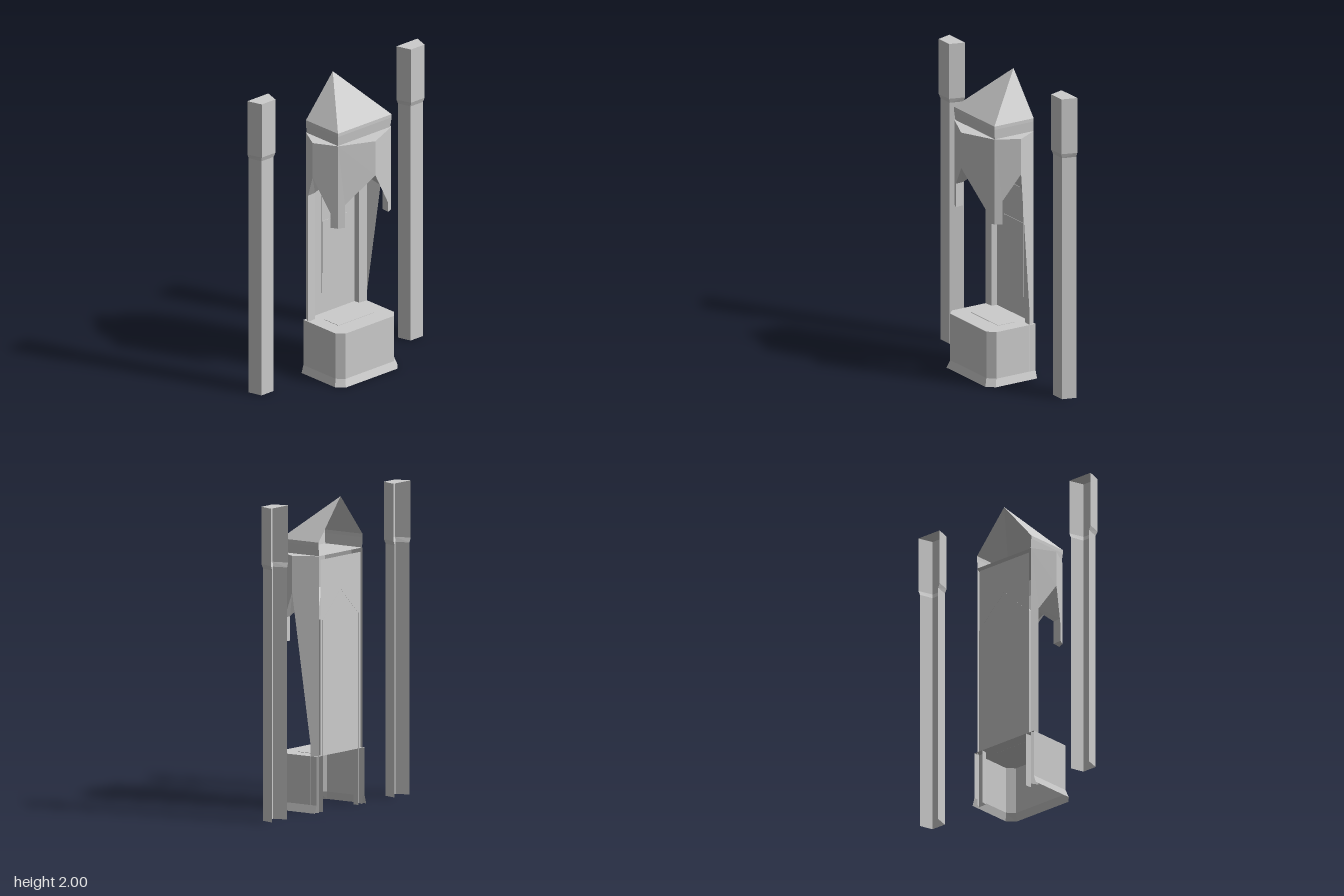
import * as THREE from 'three';

const stone = new THREE.MeshStandardMaterial({ color: 0xcccccc, side: THREE.DoubleSide, flatShading: true });
stone.name = 'pale stone';

// Mesh from flat polygons, each fanned from its first corner
function polyMesh(name, polys) {
  const pos = [];
  for (const p of polys)
    for (let i = 1; i < p.length - 1; i++) pos.push(...p[0], ...p[i], ...p[i + 1]);
  const g = new THREE.BufferGeometry();
  g.setAttribute('position', new THREE.Float32BufferAttribute(pos, 3));
  g.computeVertexNormals();
  const m = new THREE.Mesh(g, stone);
  m.name = name;
  return m;
}

// Add the copies mirrored across z = 0
const mirrored = polys => polys.concat(
  polys.map(p => p.map(([x, y, z]) => [x, y, -z]).reverse()));

// Walls between open outlines stacked at given heights: [y, [[x, z], ...]]
function skin(levels) {
  const out = [];
  for (let l = 0; l < levels.length - 1; l++) {
    const [y0, a] = levels[l], [y1, b] = levels[l + 1];
    for (let i = 0; i < a.length - 1; i++)
      out.push([at(a[i], y0), at(a[i + 1], y0), at(b[i + 1], y1), at(b[i], y1)]);
  }
  return out;
}
const at = ([x, z], y) => [x, y, z];
const lid = (outline, y) => outline.map(p => at(p, y));

function plate(name, sx, sy, sz, x, y, z) {
  const m = new THREE.Mesh(new THREE.BoxGeometry(sx, sy, sz), stone);
  m.name = name;
  m.position.set(x, y, z);
  return m;
}

// Side pilaster, open at the back and bottom
function pilaster(name, z) {
  const section = (x, back, front) => [[-0.2, back], [x, front], [x, -front], [-0.2, -back]];
  const shaft = section(-0.11, 0.078, 0.052), head = section(-0.1, 0.09, 0.059);
  const m = polyMesh(name, [
    ...skin([[0, shaft], [1.605, shaft], [1.635, head], [2, head]]),
    lid(head, 2)]);
  m.position.z = z;
  return m;
}

// Chamfered bench with a flared foot, open at the back and bottom
function bench() {
  const outline = (fx, cx, fz, cz) => [[-0.2, cz], [cx, cz], [fx, fz], [fx, -fz], [cx, -cz], [-0.2, -cz]];
  const body = outline(0.142, 0.097, 0.207, 0.252), foot = outline(0.16, 0.11, 0.222, 0.268);
  return polyMesh('bench', [...skin([[0, foot], [0.05, body], [0.36, body]]), lid(body, 0.36)]);
}

// Pointed-bay canopy on two hanging pendants and two full-height jambs
function canopy() {
  const g = new THREE.Group();
  g.name = 'canopy';
  const TOP = 1.635, APEX = 1.4, SPRING = 1.225, DROP = 1.07;
  const frontCorner = [0.095, 0.228], backCorner = [-0.2, 0.228];
  const frontTip = [0.195, 0], sideTip = [-0.052, 0.31], centre = [-0.052, 0];
  const q1 = [0.112, 0.185], q2 = [0.05, 0.2526], q3 = [-0.155, 0.2526], q4 = [-0.2, 0.185];
  const innerFront = [0.055, 0.19], innerBack = [-0.16, 0.19];

  // Half bays: wall with a sloping arch edge
  const half = (corner, tip, q, bottom) => [at(corner, TOP), at(tip, TOP), at(tip, APEX),
    at(q, SPRING), at(q, bottom), at(corner, bottom)];
  g.add(polyMesh('canopyBays', mirrored([
    half(frontCorner, frontTip, q1, DROP),
    half(frontCorner, sideTip, q2, DROP).reverse(),
    half(backCorner, sideTip, q3, 0)])));

  // Inner faces of the pendants and jambs
  g.add(polyMesh('pendantInsides', mirrored([
    ...skin([[DROP, [q1, innerFront, q2]], [SPRING, [q1, innerFront, q2]]]),
    lid([frontCorner, q1, innerFront, q2], DROP)])));
  g.add(polyMesh('jambInsides', mirrored(
    skin([[0, [q3, innerBack, q4]], [SPRING, [q3, innerBack, q4]]]))));

  // Folded vault under the bays
  const web = (tip, q, inner) => [at(tip, APEX), at(q, SPRING), at(inner, SPRING), at(centre, APEX)];
  g.add(polyMesh('vault', mirrored([
    web(frontTip, q1, innerFront),
    web(sideTip, q2, innerFront).reverse(),
    web(sideTip, q3, innerBack),
    web([-0.2, 0], q4, innerBack).reverse()])));

  // Flat top
  g.add(polyMesh('canopyTop', mirrored([
    lid([centre, frontTip, frontCorner, sideTip, backCorner, [-0.2, 0]], TOP).reverse()])));
  return g;
}

// Half spire on a low collar, open at the back
function spire() {
  const collar = [[-0.2, 0.225], [0.09, 0.225], [0.09, -0.225], [-0.2, -0.225]];
  const eave = [[-0.2, 0.23], [0.097, 0.23], [0.097, -0.23], [-0.2, -0.23]];
  const peak = [[-0.2, 0], [-0.2, 0], [-0.2, 0], [-0.2, 0]];
  return polyMesh('spire', skin([[1.635, collar], [1.7, eave], [1.722, eave], [1.99, peak]]));
}

export function createModel() {
  const model = new THREE.Group();
  model.name = 'wallNiche';

  model.add(pilaster('leftPilaster', 0.64), pilaster('rightPilaster', -0.64));

  const niche = new THREE.Group();
  niche.name = 'niche';
  niche.position.z = -0.003;
  niche.add(bench(), canopy(), spire());
  niche.add(polyMesh('backWall', [
    [[-0.199, 0.36, 0.21], [-0.199, 0.36, -0.21], [-0.199, 1.61, -0.21], [-0.199, 1.61, 0.21]]]));

  // Thin panels on the wall and seat
  niche.add(plate('tallWallPanel', 0.003, 0.72, 0.215, -0.196, 0.86, -0.01));
  niche.add(plate('smallWallPanel', 0.003, 0.355, 0.22, -0.193, 0.815, -0.012));
  niche.add(plate('seatPanel', 0.13, 0.003, 0.31, -0.045, 0.361, 0));
  model.add(niche);
  return model;
}
